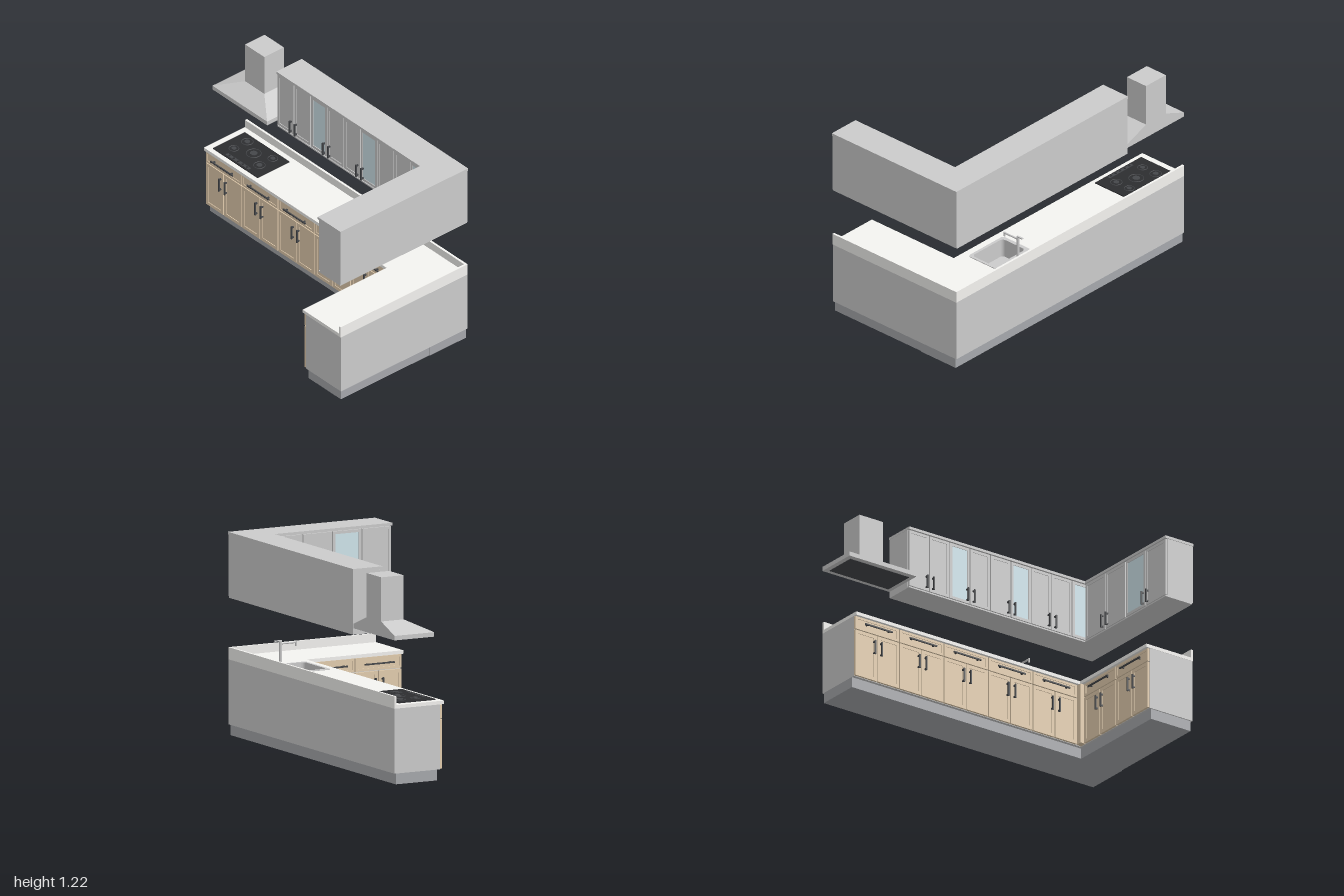
import * as THREE from 'three';

const mat = (color) => new THREE.MeshStandardMaterial({ color });
const GREY = mat(0xcccccc), STONE = mat(0xf4f3f0), WOOD = mat(0xe3cdae), KICK = mat(0xa6a8ac);
const GLASS = mat(0xd0e5ec), DARK = mat(0x45474a), BLACK = mat(0x2c2d30);

function add(parent, name, geometry, material) {
  const mesh = new THREE.Mesh(geometry, material);
  mesh.name = name;
  parent.add(mesh);
  return mesh;
}

// Box given by its minimum and maximum corners
function box(parent, name, material, x0, x1, y0, y1, z0, z1) {
  const m = add(parent, name, new THREE.BoxGeometry(x1 - x0, y1 - y0, z1 - z0), material);
  m.position.set((x0 + x1) / 2, (y0 + y1) / 2, (z0 + z1) / 2);
  return m;
}

// L-shaped floor plan: back run plus a wing towards +z
function planL(x0, x1, back, front, wingX, end) {
  const pts = [[x0, back], [x1, back], [x1, end], [wingX, end], [wingX, front], [x0, front]];
  return new THREE.Shape(pts.map(([x, z]) => new THREE.Vector2(x, -z)));
}

// Rounded rectangle in plan
function planRect(x0, x1, z0, z1, r, Type = THREE.Shape) {
  const s = new Type(), a = -z1, b = -z0;
  s.moveTo(x0 + r, a);
  s.lineTo(x1 - r, a).absarc(x1 - r, a + r, r, -Math.PI / 2, 0);
  s.lineTo(x1, b - r).absarc(x1 - r, b - r, r, 0, Math.PI / 2);
  s.lineTo(x0 + r, b).absarc(x0 + r, b - r, r, Math.PI / 2, Math.PI);
  s.lineTo(x0, a + r).absarc(x0 + r, a + r, r, Math.PI, Math.PI * 1.5);
  return s;
}

// Raise a plan from y0 to y1
function slab(parent, name, material, shape, y0, y1, hole) {
  if (hole) shape.holes.push(hole);
  const g = new THREE.ExtrudeGeometry(shape, { depth: y1 - y0, bevelEnabled: false, curveSegments: 6 });
  g.rotateX(-Math.PI / 2).translate(0, y0, 0);
  return add(parent, name, g, material);
}

// Framed front facing +z, its face at z = 0, with a recessed panel
function framedFront(parent, name, x0, x1, y0, y1, border, material, panel = material) {
  const g = new THREE.Group();
  g.name = name;
  parent.add(g);
  const gap = 0.003, t = 0.014;
  const rect = (Type, d) => new Type([[x0 + d, y0 + d], [x1 - d, y0 + d], [x1 - d, y1 - d], [x0 + d, y1 - d]]
    .map((p) => new THREE.Vector2(...p)));
  const s = rect(THREE.Shape, gap);
  s.holes.push(rect(THREE.Path, border));
  const frame = new THREE.ExtrudeGeometry(s, { depth: t, bevelEnabled: false }).translate(0, 0, -t);
  add(g, 'frame', frame, material);
  box(g, 'panel', panel, x0 + border, x1 - border, y0 + border, y1 - border, -t, -0.004);
}

// Bar pull on two posts, centred at x, y
function pull(parent, x, y, length, upright) {
  const g = new THREE.Group();
  g.name = 'handle';
  const h = length / 2, r = 0.0045;
  box(g, 'bar', DARK, -h, h, -r, r, 0.011, 0.019);
  for (const s of [-1, 1]) box(g, 'post', DARK, s * h * 0.8 - r, s * h * 0.8 + r, -r, r, -0.002, 0.012);
  g.position.set(x, y, 0);
  if (upright) g.rotation.z = Math.PI / 2;
  parent.add(g);
}

// Row of base cabinets: one drawer above two doors each
function baseFronts(parent, start, width, count) {
  for (let i = 0; i < count; i++) {
    const a = start + i * width, b = a + width, c = (a + b) / 2;
    framedFront(parent, 'drawer', a, b, 0.367, 0.455, 0.018, WOOD);
    pull(parent, c, 0.411, 0.2, false);
    framedFront(parent, 'leftDoor', a, c, 0.065, 0.367, 0.024, WOOD);
    framedFront(parent, 'rightDoor', c, b, 0.065, 0.367, 0.024, WOOD);
    for (const s of [-1, 1]) pull(parent, c + s * 0.025, 0.28, 0.09, true);
  }
}

// Row of wall cabinet doors, handles towards the middle of each pair
function wallFronts(parent, start, width, count, glazed) {
  for (let i = 0; i < count; i++) {
    const a = start + i * width, b = a + width;
    framedFront(parent, 'wallDoor', a, b, 0.836, 1.203, 0.02, GREY, glazed.includes(i) ? GLASS : GREY);
    pull(parent, i % 2 ? a + 0.023 : b - 0.023, 0.893, 0.085, true);
  }
}

function run(parent, name, x, z, turned) {
  const g = new THREE.Group();
  g.name = name;
  g.position.set(x, 0, z);
  if (turned) g.rotation.y = -Math.PI / 2; // local +x runs along +z, fronts face -x
  parent.add(g);
  return g;
}

function buildBase(root) {
  const basin = () => planRect(0.29, 0.56, -0.41, -0.222, 0.025, THREE.Path);
  box(root, 'kickboard', KICK, -0.997, 0.985, 0, 0.066, -0.485, -0.205);
  box(root, 'wingKickboard', KICK, 0.69, 0.98, 0, 0.066, -0.205, 0.49);
  const body = () => planL(-0.998, 0.99, -0.495, -0.184, 0.674, 0.498);
  slab(root, 'carcass', GREY, body(), 0.065, 0.36);
  slab(root, 'carcassTop', GREY, body(), 0.36, 0.455, basin());
  slab(root, 'countertop', STONE, planL(-1, 0.99, -0.495, -0.158, 0.647, 0.5), 0.455, 0.476, basin());
  box(root, 'backSplash', STONE, -1, 0.99, 0.476, 0.528, -0.495, -0.48);
  box(root, 'sideSplash', STONE, 0.975, 0.99, 0.476, 0.528, -0.48, 0.5);

  baseFronts(run(root, 'backRunFronts', 0, -0.17), -1, 0.327, 5);
  baseFronts(run(root, 'wingFronts', 0.66, 0, true), -0.138, 0.318, 2);
  box(root, 'cornerFiller', WOOD, 0.638, 0.676, 0.068, 0.452, -0.186, -0.14);

  // Sink
  slab(root, 'sinkRim', GREY, planRect(0.268, 0.575, -0.43, -0.206, 0.02), 0.474, 0.48,
    planRect(0.292, 0.558, -0.408, -0.224, 0.024, THREE.Path));
  slab(root, 'sinkWall', GREY, planRect(0.289, 0.561, -0.411, -0.221, 0.025), 0.361, 0.475,
    planRect(0.292, 0.558, -0.408, -0.224, 0.024, THREE.Path));
  slab(root, 'sinkFloor', GREY, planRect(0.29, 0.56, -0.41, -0.222, 0.025), 0.359, 0.364);
  add(root, 'drain', new THREE.CylinderGeometry(0.018, 0.018, 0.004, 20), DARK).position.set(0.425, 0.365, -0.316);

  // Faucet
  const cyl = (name, r, h, y, z, tilt) => {
    const m = add(root, name, new THREE.CylinderGeometry(r, r, h, 16), GREY);
    m.position.set(0.42, y, z);
    if (tilt) m.rotation.x = Math.PI / 2;
  };
  cyl('faucetBase', 0.014, 0.008, 0.48, -0.465);
  cyl('faucetColumn', 0.0095, 0.17, 0.561, -0.465);
  cyl('faucetSpout', 0.006, 0.105, 0.632, -0.409, true);
  cyl('faucetOutlet', 0.006, 0.028, 0.624, -0.358);
  box(root, 'faucetLever', GREY, 0.414, 0.426, 0.646, 0.652, -0.504, -0.458);

  // Cooktop
  box(root, 'cooktop', BLACK, -0.955, -0.553, 0.474, 0.482, -0.44, -0.19);
  box(root, 'controlPanel', DARK, -0.855, -0.648, 0.48, 0.4835, -0.222, -0.2);
  for (const [x, z, r] of [[-0.87, -0.385, 0.035], [-0.87, -0.28, 0.03], [-0.755, -0.335, 0.045],
    [-0.64, -0.385, 0.03], [-0.64, -0.28, 0.035]]) {
    const ring = add(root, 'burnerRing', new THREE.TorusGeometry(r, 0.0025, 6, 28), DARK);
    ring.rotation.x = Math.PI / 2;
    ring.position.set(x, 0.4825, z);
    add(root, 'burnerCap', new THREE.CylinderGeometry(r * 0.5, r * 0.5, 0.005, 20), DARK).position.set(x, 0.4835, z);
  }
  for (let i = 0; i < 5; i++)
    add(root, 'knob', new THREE.CylinderGeometry(0.007, 0.008, 0.003, 12), BLACK).position.set(-0.83 + i * 0.0395, 0.484, -0.211);
}

function buildWallUnits(root) {
  slab(root, 'wallCarcass', GREY, planL(-0.505, 0.99, -0.495, -0.316, 0.802, 0.5), 0.834, 1.206);
  slab(root, 'lightRail', GREY, planL(-0.505, 0.985, -0.495, -0.303, 0.79, 0.5), 0.825, 0.834);
  slab(root, 'cornice', GREY, planL(-0.507, 0.992, -0.497, -0.297, 0.786, 0.504), 1.204, 1.22);
  wallFronts(run(root, 'backWallFronts', 0, -0.303), -0.505, 0.15, 9, [2, 5, 8]);
  wallFronts(run(root, 'wingWallFronts', 0.79, 0, true), -0.3, 0.2, 4, [2]);
}

function buildHood(root) {
  box(root, 'hoodLip', GREY, -1, -0.507, 0.865, 0.892, -0.495, -0.225);
  box(root, 'hoodChimney', GREY, -0.84, -0.667, 0.953, 1.22, -0.495, -0.342);
  // Canopy: a box whose upper corners draw in to the chimney, back kept upright
  const g = new THREE.BoxGeometry(1, 1, 1), p = g.attributes.position;
  for (let i = 0; i < p.count; i++) {
    const top = p.getY(i) > 0, right = p.getX(i) > 0, front = p.getZ(i) > 0;
    const x = top ? (right ? -0.667 : -0.84) : (right ? -0.507 : -1);
    p.setXYZ(i, x, top ? 0.955 : 0.892, front ? (top ? -0.342 : -0.225) : -0.495);
  }
  const flat = g.toNonIndexed();
  flat.computeVertexNormals();
  add(root, 'hoodCanopy', flat, GREY);
  box(root, 'hoodFilter', DARK, -0.97, -0.537, 0.862, 0.866, -0.465, -0.255);
}

export function createModel() {
  const root = new THREE.Group();
  root.name = 'kitchen';
  buildBase(root);
  buildWallUnits(root);
  buildHood(root);
  return root;
}
